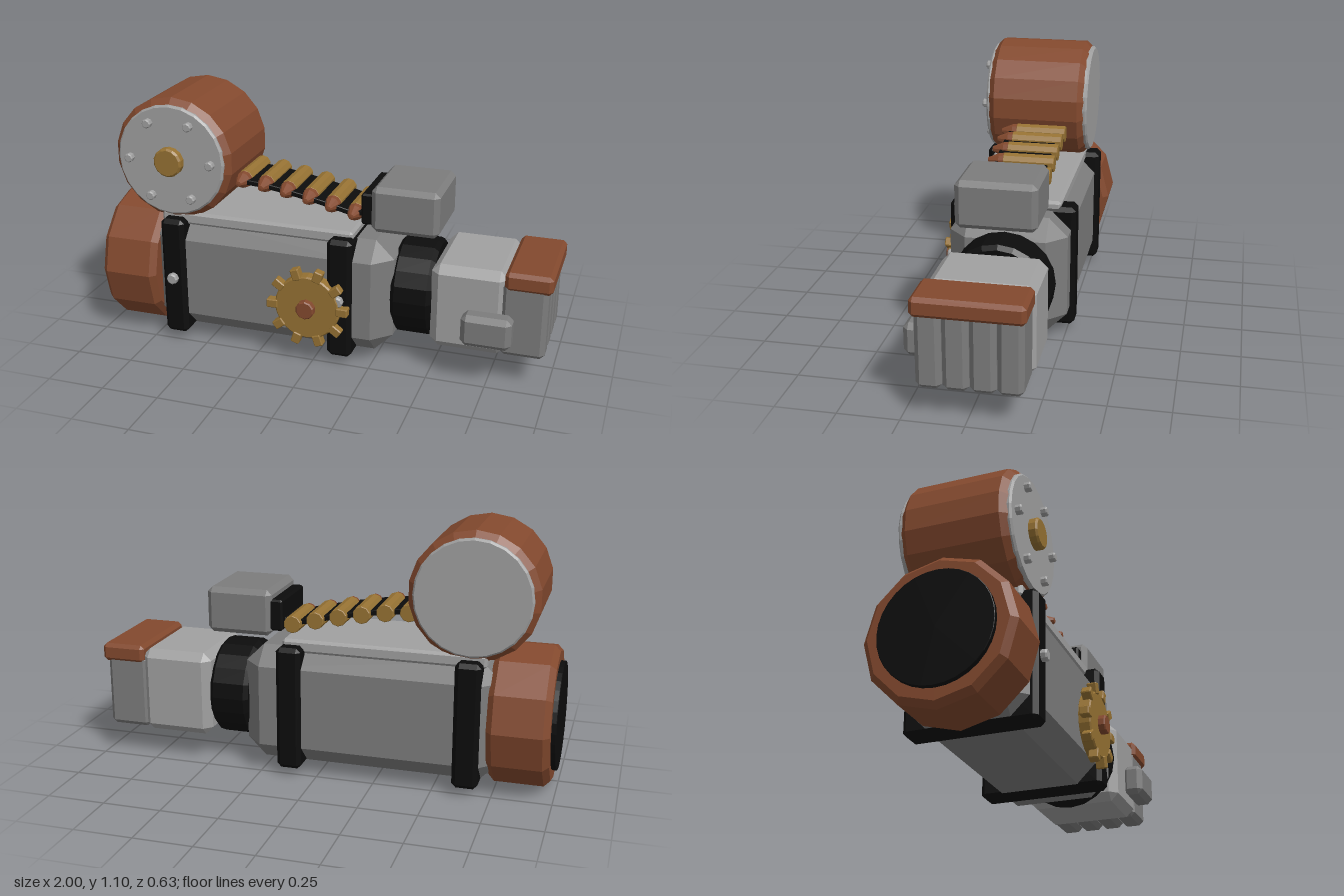
import * as THREE from 'three';
import { ConvexGeometry } from 'three/addons/geometries/ConvexGeometry.js';

const mat = (name, color) => {
  const m = new THREE.MeshStandardMaterial({ color });
  m.name = name;
  return m;
};

export function createModel() {
  const gray = mat('mid gray metal', 0x7c7c7c);
  const light = mat('light gray metal', 0xa0a0a0);
  const black = mat('black rubber', 0x0c0c0c);
  const brown = mat('copper brown', 0x83492e);
  const gold = mat('brass', 0x967233);

  const model = new THREE.Group();
  model.name = 'mechanicalArm';

  const add = (name, geometry, material, parent = model) => {
    const mesh = new THREE.Mesh(geometry, material);
    mesh.name = name;
    parent.add(mesh);
    return mesh;
  };
  const group = (name) => {
    const g = new THREE.Group();
    g.name = name;
    model.add(g);
    return g;
  };

  // Box given by its ranges on each axis, with every edge chamfered by c
  const box = (name, material, [x0, x1], [y0, y1], [z0, z1], c, parent) => {
    const half = [(x1 - x0) / 2, (y1 - y0) / 2, (z1 - z0) / 2];
    const points = [];
    for (const sx of [-1, 1]) for (const sy of [-1, 1]) for (const sz of [-1, 1])
      for (let full = 0; full < 3; full++) {
        const [x, y, z] = half.map((h, i) => (i === full ? h : h - c));
        points.push(new THREE.Vector3(sx * x, sy * y, sz * z));
      }
    const mesh = add(name, new ConvexGeometry(points), material, parent);
    mesh.position.set((x0 + x1) / 2, (y0 + y1) / 2, (z0 + z1) / 2);
    return mesh;
  };

  // Faceted solid of revolution along x or z; profile is [radius, distance along axis]
  const turned = (name, material, axis, [x, y, z], profile, sides, parent) => {
    const lathe = new THREE.LatheGeometry(profile.map(([r, t]) => new THREE.Vector2(r, t)), sides);
    const geometry = lathe.toNonIndexed();
    geometry.computeVertexNormals();
    if (axis === 'x') geometry.rotateZ(-Math.PI / 2);
    else geometry.rotateX(Math.PI / 2);
    const mesh = add(name, geometry, material, parent);
    mesh.position.set(x, y, z);
    return mesh;
  };
  // Profile of a disc from t0 to t1 with chamfered rims
  const disc = (r, t0, t1, c) => [[0, t0], [r - c, t0], [r, t0 + c], [r, t1 - c], [r - c, t1], [0, t1]];

  // Shoulder end
  turned('shoulderRing', brown, 'x', [0, 0.305, -0.015], disc(0.303, -0.98, -0.725, 0.025), 12);
  turned('shoulderSocket', black, 'x', [0, 0.305, -0.015], disc(0.23, -1, -0.97, 0.002), 32);

  // Forearm housing, top plate and clamping bands
  box('forearm', gray, [-0.77, 0.33], [0.05, 0.56], [-0.265, 0.235], 0.08);
  box('topPlate', light, [-0.71, 0.16], [0.54, 0.598], [-0.22, 0.2], 0.012);
  for (const x of [-0.642, 0.116]) {
    box('band', black, [x - 0.054, x + 0.054], [0.037, 0.575], [-0.284, 0.257], 0.018);
    turned('bandBolt', light, 'z', [x, 0.305, 0], disc(0.025, 0.25, 0.282, 0.006), 8);
  }

  // Side gear
  const gear = group('gear');
  gear.position.set(-0.015, 0.265, 0);
  turned('gearDisc', gold, 'z', [0, 0, 0], disc(0.143, 0.23, 0.286, 0.006), 24, gear);
  for (let i = 0; i < 10; i++) {
    const arm = new THREE.Group();
    arm.name = 'gearTooth';
    arm.rotation.z = (i * Math.PI) / 5;
    gear.add(arm);
    box('tooth', gold, [0.13, 0.18], [-0.019, 0.019], [0.25, 0.292], 0.004, arm);
  }
  turned('gearHub', brown, 'z', [0, 0, 0], disc(0.041, 0.25, 0.316, 0.005), 10, gear);

  // Wrist and hand
  turned('wristJoint', black, 'x', [0, 0.307, -0.017], disc(0.214, 0.32, 0.495, 0.018), 20);
  box('hand', light, [0.493, 0.815], [0.12, 0.495], [-0.23, 0.197], 0.035);
  for (let i = 0; i < 4; i++) {
    const z = -0.012 + (i - 1.5) * 0.104;
    box('finger', gray, [0.79, 0.98], [0.13, 0.46], [z - 0.051, z + 0.051], 0.02);
  }
  box('knucklePlate', brown, [0.802, 0.997], [0.428, 0.508], [-0.23, 0.207], 0.016);
  box('thumb', gray, [0.64, 0.85], [0.187, 0.325], [0.185, 0.277], 0.022);

  // Drum with end caps, hub and bolts
  const drum = group('drum');
  drum.position.set(-0.645, 0.835, 0);
  turned('drumShell', brown, 'z', [0, 0, 0], disc(0.27, -0.23, 0.212, 0.028), 18, drum);
  turned('frontCap', light, 'z', [0, 0, 0], disc(0.244, 0.18, 0.224, 0.008), 24, drum);
  turned('backCap', light, 'z', [0, 0, 0], disc(0.244, -0.245, -0.2, 0.008), 24, drum);
  turned('drumHub', gold, 'z', [0, 0, 0], disc(0.064, 0.2, 0.26, 0.008), 14, drum);
  for (let i = 0; i < 6; i++) {
    const a = (i * Math.PI) / 3;
    turned('capBolt', light, 'z', [0.186 * Math.cos(a), 0.186 * Math.sin(a), 0],
      disc(0.02, 0.21, 0.25, 0.005), 8, drum);
  }

  // Belt of rounds sagging from the drum to the feeder
  const belt = group('belt');
  const heights = [0.732, 0.724, 0.708, 0.689, 0.667, 0.643];
  const spots = heights.map((y, i) => [-0.37 + i * 0.101, y]);
  spots.forEach(([x, y], i) => {
    turned('roundCase', gold, 'z', [x, y, 0], disc(0.038, -0.155, 0.07, 0.003), 10, belt);
    turned('roundTip', brown, 'z', [x, y, 0],
      [[0, 0.066], [0.037, 0.066], [0.034, 0.09], [0.012, 0.14], [0, 0.142]], 10, belt);
    const [nx, ny] = spots[i + 1] || [0.2, 0.66];
    const length = Math.hypot(nx - x, ny - y);
    const link = box('beltLink', black, [-length / 2, length / 2], [-0.011, 0.011],
      [-0.13, 0.105], 0.003, belt);
    link.position.x = (x + nx) / 2;
    link.position.y = (y + ny) / 2;
    link.rotation.z = Math.atan2(ny - y, nx - x);
  });

  // Feeder
  box('feederMouth', black, [0.175, 0.25], [0.612, 0.748], [-0.165, 0.13], 0.008);
  box('feeder', gray, [0.222, 0.512], [0.588, 0.788], [-0.182, 0.153], 0.022);

  return model;
}
